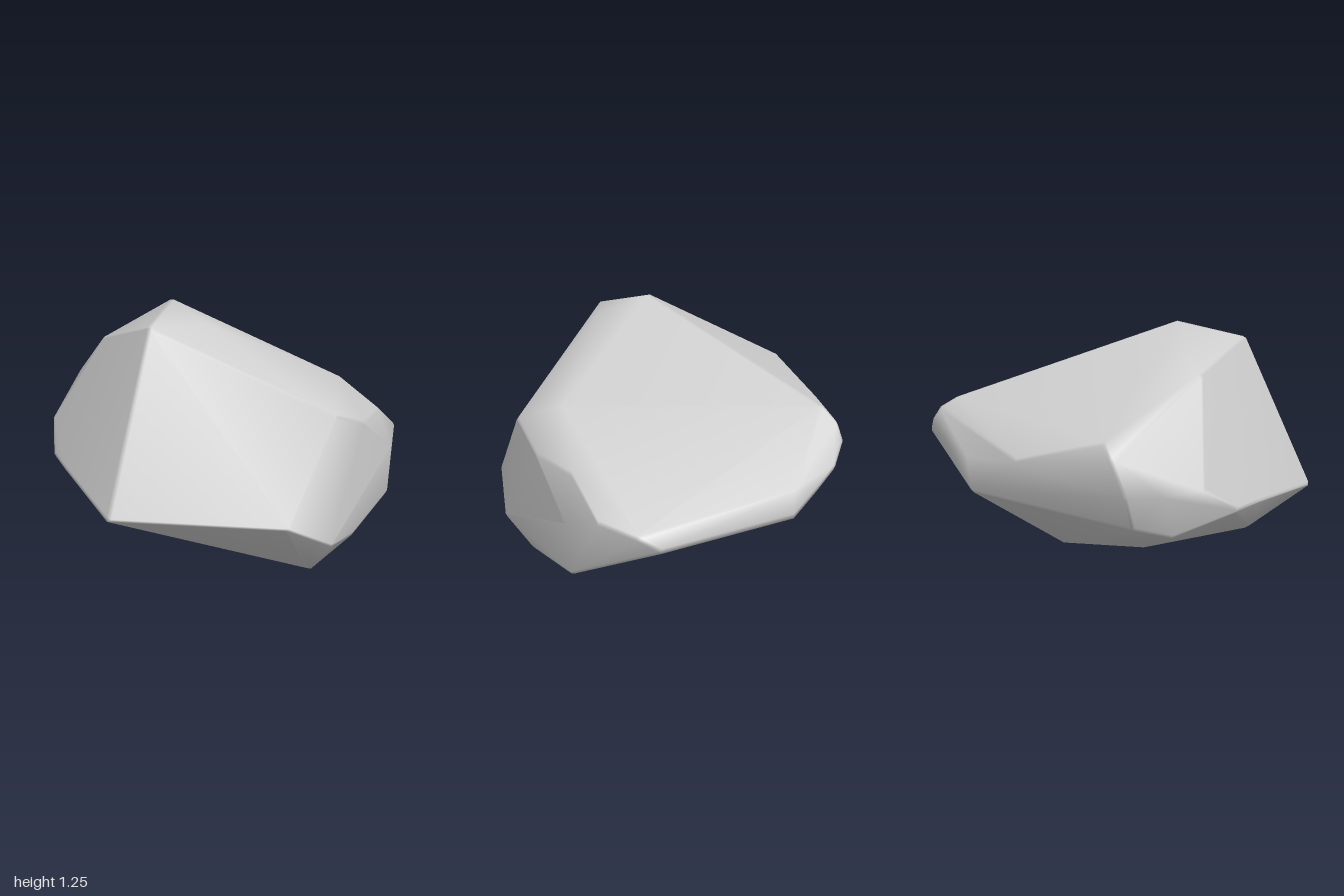
import * as THREE from 'three';
import { ConvexGeometry } from 'three/addons/geometries/ConvexGeometry.js';
import { mergeVertices } from 'three/addons/utils/BufferGeometryUtils.js';

// Corner points of the boulder, grouped by region
const crown = [
  [-0.06, 1.25, 0.3], [0.05, 1.16, 0.63], [0.2, 1.16, 0.39], [-0.38, 1.05, 0.45],
  [-0.35, 0.87, -0.79], [-0.36, 0.82, -0.87], [0.68, 0.87, -0.1], [0.79, 0.75, 0.18],
];
const leftFlank = [
  [0.82, 0.66, -0.1], [0.78, 0.66, -0.38], [0.84, 0.45, -0.42], [0.845, 0.17, 0.3],
  [0.75, 0.32, 0.56], [0.83, 0.12, 0.02], [0.83, 0.2, -0.43], [0.78, 0.52, -0.62],
];
const rightFlank = [
  [-0.82, 0.83, 0.08], [-0.85, 0.77, 0.12], [-0.85, 0.6, 0.18], [-0.81, 0.6, 0.33],
  [-0.7, 0.6, 0.5], [-0.78, 0.43, 0.2], [-0.7, 0.37, 0.37], [-0.75, 0.7, -0.35],
  [-0.64, 0.31, 0.17], [-0.46, 0.18, -0.22],
];
const frontRim = [
  [0.09, 0.37, 1], [-0.15, 0.4, 0.87], [-0.4, 0.45, 0.75], [-0.56, 0.46, 0.65],
];
const backRim = [
  [0.62, 0.45, -0.85], [0.68, 0.49, -0.79], [0, 0.62, -1], [0, 0.5, -1], [-0.13, 0.6, -1],
  [-0.25, 0.67, -0.98], [-0.35, 0.75, -0.92], [-0.5, 0.68, -0.78],
  [-0.61, 0.66, -0.64], [-0.63, 0.5, -0.62],
];
const underside = [
  [0.72, 0, 0.25], [-0.1, 0.04, 0.2], [-0.18, 0.05, 0.16], [-0.06, 0.14, -0.47],
  [-0.2, 0.23, 0.7],
];

// Replace a sharp corner by a tiny ball of points just inside it
const ROUNDING = 0.022;
const centre = new THREE.Vector3(0, 0.58, 0);
const ball = mergeVertices(new THREE.IcosahedronGeometry(ROUNDING)
  .deleteAttribute('normal').deleteAttribute('uv')).getAttribute('position');

function roundCorner(corner) {
  const p = new THREE.Vector3(...corner);
  const inward = centre.clone().sub(p).setLength(ROUNDING);
  return Array.from({ length: ball.count }, (_, i) =>
    new THREE.Vector3().fromBufferAttribute(ball, i).add(p).add(inward));
}

export function createModel() {
  const corners = [crown, leftFlank, rightFlank, frontRim, backRim, underside].flat();

  // Convex shell with softly worn edges
  let shell = new ConvexGeometry(corners.flatMap(roundCorner));
  shell.deleteAttribute('normal');
  shell = mergeVertices(shell, 1e-4);
  shell.computeVertexNormals();

  const boulder = new THREE.Mesh(shell, new THREE.MeshStandardMaterial({ color: 0xcccccc }));
  boulder.name = 'boulder';

  const group = new THREE.Group();
  group.name = 'rock';
  group.add(boulder);
  return group;
}
